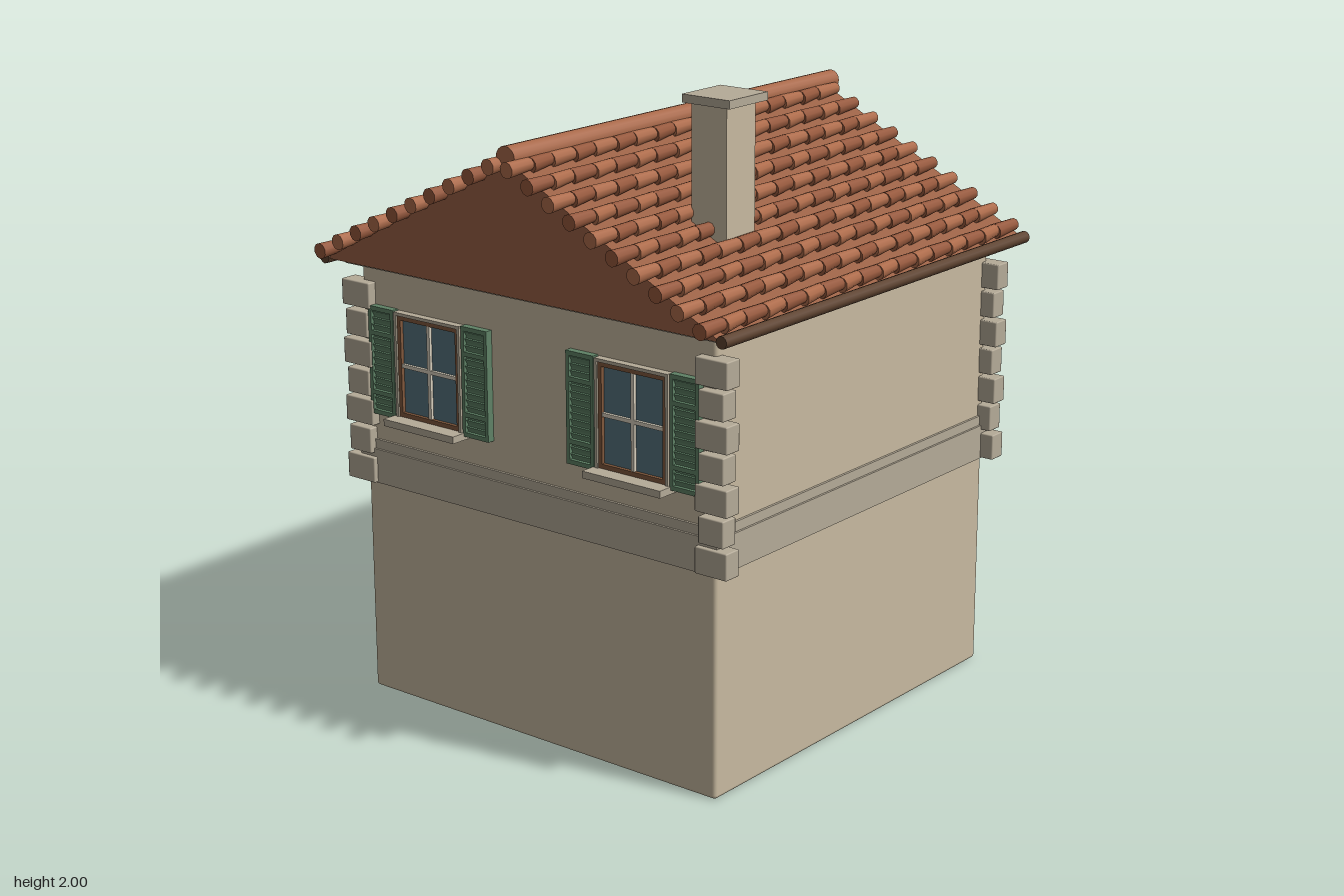
import * as THREE from 'three';
import { mergeGeometries } from 'three/addons/utils/BufferGeometryUtils.js';
import { RoundedBoxGeometry } from 'three/addons/geometries/RoundedBoxGeometry.js';

const mat = (color, side = THREE.FrontSide) => new THREE.MeshStandardMaterial({ color, side });
const M = {
  wall: mat(0xc8baa0), stone: mat(0xb5ab98), roof: mat(0x9a6044), ridge: mat(0xa9694a),
  eave: mat(0x5e4330), tileA: mat(0xad6b4a), tileB: mat(0x96583c), shutter: mat(0x5f8266),
  glass: mat(0x55737f), wood: mat(0x80583c), pale: mat(0xd8d0be), iron: mat(0x2c2c2c),
  green: mat(0x6f9078, THREE.DoubleSide), cream: mat(0xe0d8c2, THREE.DoubleSide),
};
const BACK = -0.64, FRONT = 0.75, MID = (BACK + FRONT) / 2;

function add(parent, name, geometry, material) {
  const m = new THREE.Mesh(geometry, material);
  m.name = name;
  parent.add(m);
  return m;
}

// box given by its extents
function box(parent, name, material, x0, x1, y0, y1, z0, z1) {
  const m = add(parent, name, new THREE.BoxGeometry(x1 - x0, y1 - y0, z1 - z0), material);
  m.position.set((x0 + x1) / 2, (y0 + y1) / 2, (z0 + z1) / 2);
  return m;
}

// thin rod between two points
function rod(parent, name, a, b, r, material, sides = 6) {
  const curve = new THREE.LineCurve3(new THREE.Vector3(...a), new THREE.Vector3(...b));
  return add(parent, name, new THREE.TubeGeometry(curve, 1, r, sides), material);
}

// louvred shutter, wall plane at z = 0
function shutter(cx) {
  const g = new THREE.Group();
  g.name = 'shutter';
  const w = 0.052, y0 = 0.93, y1 = 1.275;
  box(g, 'shutterPanel', M.shutter, cx - w, cx + w, y0, y1, 0, 0.012);
  for (const s of [-1, 1]) {
    const x = cx + s * (w - 0.006);
    box(g, 'shutterStile', M.shutter, x - 0.006, x + 0.006, y0, y1, 0.012, 0.024);
  }
  for (const y of [0.937, 1.0, 1.19, 1.268])
    box(g, 'shutterRail', M.shutter, cx - w, cx + w, y - 0.007, y + 0.007, 0.012, 0.024);
  for (let i = 0; i < 15; i++) {
    const y = 0.955 + i * 0.0212;
    box(g, 'shutterSlat', M.shutter, cx - w + 0.01, cx + w - 0.01, y - 0.008, y + 0.008, 0.011, 0.016).rotation.x = 0.5;
  }
  return g;
}

// four-pane window with sill and shutters, wall plane at z = 0
function windowUnit() {
  const g = new THREE.Group();
  g.name = 'window';
  box(g, 'glass', M.glass, -0.122, 0.122, 0.94, 1.26, 0, 0.008);
  for (const s of [-1, 1]) {
    box(g, 'casing', M.stone, s * 0.131 - 0.005, s * 0.131 + 0.005, 0.94, 1.27, 0, 0.026);
    box(g, 'sash', M.wood, s * 0.12 - 0.007, s * 0.12 + 0.007, 0.94, 1.262, 0, 0.02);
    g.add(shutter(s * 0.193));
  }
  box(g, 'casingTop', M.stone, -0.136, 0.136, 1.262, 1.272, 0, 0.026);
  for (const y of [0.947, 1.255]) box(g, 'sash', M.wood, -0.12, 0.12, y - 0.007, y + 0.007, 0, 0.02);
  box(g, 'mullion', M.pale, -0.006, 0.006, 0.954, 1.248, 0.006, 0.018);
  box(g, 'transom', M.pale, -0.113, 0.113, 1.097, 1.109, 0.006, 0.018);
  box(g, 'sill', M.stone, -0.145, 0.145, 0.918, 0.94, 0, 0.072);
  return g;
}

// planked door with stone surround and step, wall plane at z = 0
function doorUnit() {
  const g = new THREE.Group();
  g.name = 'door';
  for (let i = 0; i < 5; i++) {
    const x = -0.1 + i * 0.04;
    box(g, 'doorPlank', M.wood, x + 0.002, x + 0.038, 0.74, 1.16, 0, 0.018);
  }
  box(g, 'doorBacking', M.eave, -0.1, 0.1, 0.74, 1.16, 0, 0.012);
  for (const s of [-1, 1]) box(g, 'doorJamb', M.stone, s * 0.117 - 0.017, s * 0.117 + 0.017, 0.74, 1.16, 0, 0.033);
  box(g, 'doorLintel', M.stone, -0.134, 0.134, 1.16, 1.195, 0, 0.033);
  add(g, 'doorKnob', new THREE.SphereGeometry(0.009, 10, 8), M.iron).position.set(0.075, 0.94, 0.025);
  box(g, 'step', M.stone, -0.16, 0.16, 0.70, 0.725, 0, 0.155);
  box(g, 'stepTread', M.stone, -0.165, 0.165, 0.725, 0.745, 0, 0.162);
  return g;
}

// striped awning on iron brackets, wall plane at z = 0
function awningUnit() {
  const g = new THREE.Group();
  g.name = 'awning';
  const out = 0.23, yTop = 1.28, yTip = 1.225, n = 12, w = 0.84 / n;
  const len = Math.hypot(out, yTop - yTip);
  for (let i = 0; i < n; i++) {
    const x = 0.42 - w * (i + 0.5), m = i % 2 ? M.cream : M.green;
    const s = add(g, 'awningStripe', new THREE.BoxGeometry(w, 0.005, len), m);
    s.position.set(x, (yTop + yTip) / 2, out / 2);
    s.rotation.x = Math.atan2(yTop - yTip, out);
    box(g, 'awningValance', m, x - w / 2, x + w / 2, 1.198, yTip, out - 0.004, out);
  }
  for (const s of [-1, 1]) {
    rod(g, 'awningStrut', [s * 0.415, 1.145, 0.02], [s * 0.415, yTip, out - 0.005], 0.005, M.iron);
    rod(g, 'awningArm', [s * 0.415, yTop - 0.003, 0], [s * 0.415, yTip - 0.003, out - 0.005], 0.005, M.iron);
  }
  rod(g, 'awningBar', [-0.423, yTip, out], [0.423, yTip, out], 0.005, M.iron);
  return g;
}

// rows of overlapping tapered barrel tiles, in two alternating tones
function tiles(parent) {
  const sets = [[], []], rows = 17, pitch = 0.093, len = 0.108;
  for (const side of [-1, 1]) for (let c = 0; c < 10; c++) {
    const x = side * (0.036 + c * 0.0775), y = 1.826 - 0.507 * Math.abs(x);
    for (let r = 0; r < rows; r++) {
      const t = new THREE.CylinderGeometry(0.025, 0.019, len, 10);
      t.rotateX(Math.PI / 2 + 0.05);
      t.rotateY(r % 2 ? 0.06 : -0.04);
      t.translate(x, y, 0.88 - len / 2 - r * pitch);
      sets[(r + c) % 2].push(t);
    }
  }
  add(parent, 'roofTiles', mergeGeometries(sets[0]), M.tileA);
  add(parent, 'roofTilesDark', mergeGeometries(sets[1]), M.tileB);
}

export function createModel() {
  const house = new THREE.Group();
  house.name = 'house';

  // walls and string course
  add(house, 'walls', new RoundedBoxGeometry(1.38, 1.4, FRONT - BACK, 3, 0.012), M.wall).position.set(0, 0.7, MID);
  box(house, 'baseBand', M.stone, -0.705, 0.705, 0.70, 0.81, BACK - 0.015, FRONT + 0.015);
  box(house, 'bandMoulding', M.stone, -0.698, 0.698, 0.81, 0.84, BACK - 0.008, FRONT + 0.008);

  // corner stones, alternately wide and narrow
  for (const sx of [-1, 1]) for (const z of [BACK, FRONT]) for (let i = 0; i < 7; i++) {
    const w = i % 2 ? 0.09 : 0.115, y = 0.743 + i * 0.0935;
    add(house, 'cornerStone', new RoundedBoxGeometry(w, 0.082, 0.06, 1, 0.004), M.stone)
      .position.set(sx * 0.6925, y, z);
  }

  // openings: two windows on front and back, door and awning at the back
  const front = new THREE.Group(), back = new THREE.Group();
  front.name = 'frontWall';
  back.name = 'backWall';
  front.position.z = FRONT;
  back.position.z = BACK;
  back.rotation.y = Math.PI;
  for (const wall of [front, back]) for (const s of [-1, 1]) {
    const w = windowUnit();
    w.position.x = s * 0.4;
    wall.add(w);
  }
  back.add(doorUnit(), awningUnit());
  house.add(front, back);

  // roof body
  const gable = new THREE.Shape([[-0.765, 1.415], [0.765, 1.415], [0, 1.812]].map(p => new THREE.Vector2(...p)));
  add(house, 'roof', new THREE.ExtrudeGeometry(gable, { depth: 1.55, bevelEnabled: false }), M.roof).position.z = -0.725;
  box(house, 'soffit', M.stone, -0.72, 0.72, 1.4, 1.415, -0.69, 0.79);
  tiles(house);

  // ridge cap and eave rails
  const ridge = add(house, 'ridgeCap', new THREE.CylinderGeometry(0.036, 0.032, 1.59, 16), M.ridge);
  ridge.rotation.x = Math.PI / 2;
  ridge.position.set(0, 1.83, 0.05);
  for (const s of [-1, 1]) {
    const e = add(house, 'eaveRail', new THREE.CylinderGeometry(0.019, 0.019, 1.56, 12), M.eave);
    e.rotation.x = Math.PI / 2;
    e.position.set(s * 0.768, 1.417, 0.05);
  }

  // chimney
  box(house, 'chimney', M.wall, 0.36, 0.487, 1.5, 1.975, 0.31, 0.445);
  box(house, 'chimneyCap', M.stone, 0.34, 0.512, 1.975, 2.0, 0.285, 0.465);
  return house;
}
